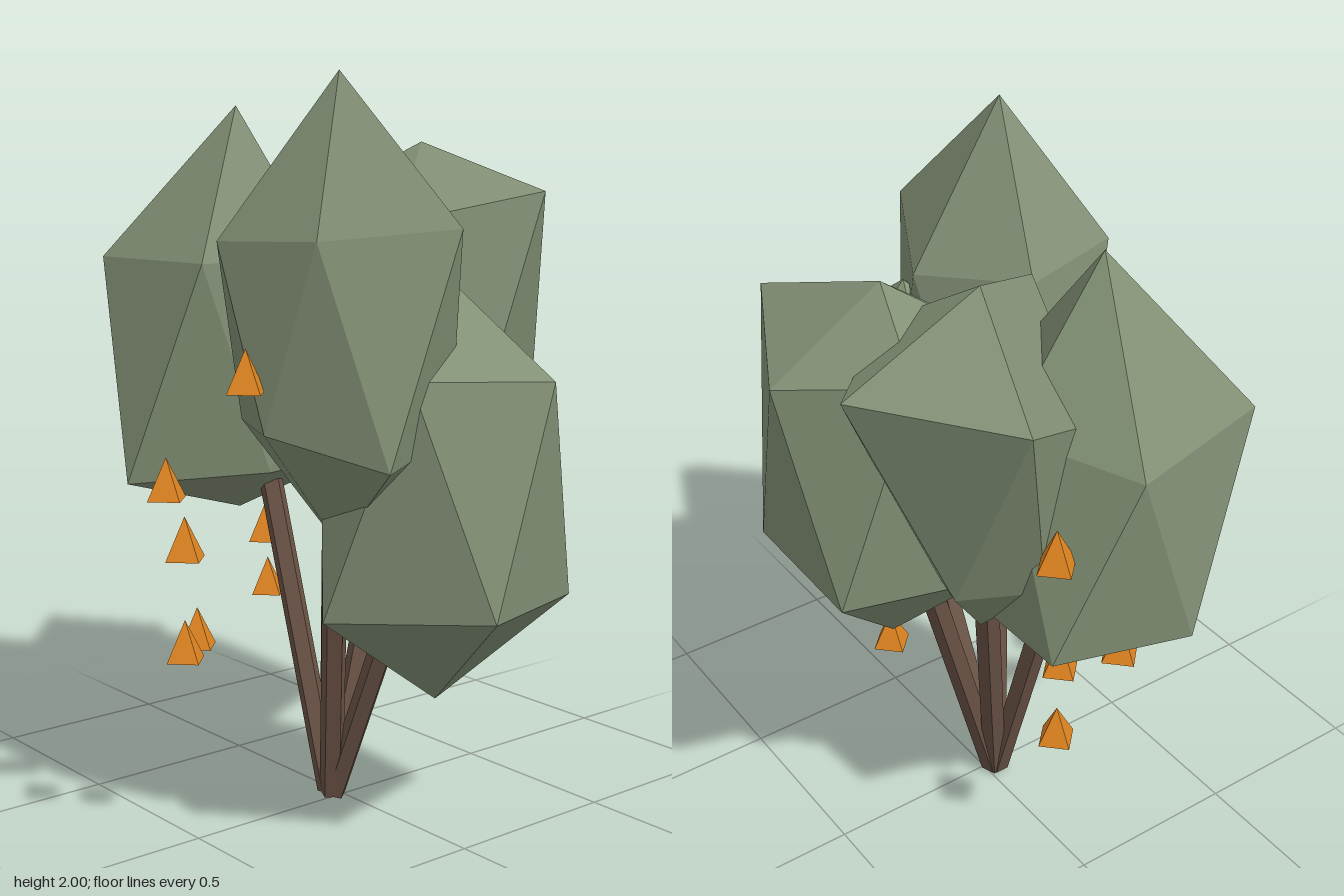
import * as THREE from 'three';

const foliage = new THREE.MeshStandardMaterial({ name: 'sage green', color: 0x839176, flatShading: true });
const bark = new THREE.MeshStandardMaterial({ name: 'brown bark', color: 0x6b5346, flatShading: true });
const fruit = new THREE.MeshStandardMaterial({ name: 'orange', color: 0xde8420, flatShading: true });

// Each crown: axis x/z, bottom and tip heights, and [radius, height] for the corners of both rings
const crowns = [
  { name: 'frontCrown', x: 0, z: 0.38, bottom: 0.38, tip: 1.51,
    upper: [[0.27, 1.2], [0.33, 1.25], [0.33, 1.27], [0.3, 1.24], [0.32, 1.24]],
    lower: [[0.35, 0.66], [0.355, 0.675], [0.38, 0.655], [0.25, 0.64], [0.39, 0.64]] },
  { name: 'frontRightCrown', x: -0.265, z: 0.305, bottom: 0.82, tip: 2,
    upper: [[0.28, 1.56], [0.345, 1.63], [0.21, 1.6], [0.3, 1.59], [0.3, 1.6]],
    lower: [[0.28, 1.1], [0.325, 1.065], [0.235, 1.13], [0.3, 1.12], [0.28, 1.1]] },
  { name: 'leftCrown', x: 0.36, z: -0.09, bottom: 0.77, tip: 1.82,
    upper: [[0.31, 1.63], [0.39, 1.69], [0.3, 1.61], [0.3, 1.66], [0.3, 1.7]],
    lower: [[0.326, 1.09], [0.37, 1.05], [0.345, 1.07], [0.3, 1.07], [0.32, 1.07]] },
  { name: 'backLeftCrown', x: 0.235, z: -0.32, bottom: 0.88, tip: 1.87,
    upper: [[0.38, 1.69], [0.3, 1.68], [0.4, 1.7], [0.27, 1.5], [0.39, 1.695]],
    lower: [[0.14, 1.1], [0.22, 1.08], [0.25, 1.08], [0.2, 1.08], [0.19, 1.1]] },
  { name: 'backCrown', x: -0.045, z: -0.42, bottom: 0.77, tip: 1.92,
    upper: [[0.28, 1.52], [0.3, 1.5], [0.31, 1.5], [0.38, 1.5], [0.32, 1.475]],
    lower: [[0.33, 0.92], [0.275, 0.92], [0.385, 0.885], [0.31, 0.93], [0.34, 0.945]] },
];

// Uneven twenty-sided blob: two staggered rings of five between a tip and a bottom point
function crownGeometry({ x, z, bottom, tip, upper, lower }) {
  const ring = (corners, start) => corners.map(([r, y], k) => {
    const a = start + (k * Math.PI * 2) / 5;
    return new THREE.Vector3(x + r * Math.cos(a), y, z + r * Math.sin(a));
  });
  const B = new THREE.Vector3(x, bottom, z);
  const T = new THREE.Vector3(x, tip, z);
  const L = ring(lower, Math.PI / 5);
  const U = ring(upper, 0);
  const points = [];
  for (let k = 0; k < 5; k++) {
    const n = (k + 1) % 5;
    points.push(T, U[n], U[k]);
    points.push(U[k], U[n], L[k]);
    points.push(L[k], U[n], L[n]);
    points.push(B, L[k], L[n]);
  }
  const geometry = new THREE.BufferGeometry().setFromPoints(points);
  geometry.computeVertexNormals();
  return geometry;
}

// Straight five-sided stem between two points
function stemMesh(from, to) {
  const dir = to.clone().sub(from);
  const mesh = new THREE.Mesh(new THREE.CylinderGeometry(0.035, 0.035, dir.length(), 5), bark);
  mesh.position.copy(from).add(to).multiplyScalar(0.5);
  mesh.quaternion.setFromUnitVectors(new THREE.Vector3(0, 1, 0), dir.normalize());
  return mesh;
}

export function createModel() {
  const model = new THREE.Group();
  model.name = 'tree';

  // Crowns, each with a stem that fans out from the shared foot
  const foot = new THREE.Vector3(-0.03, 0.012, -0.015);
  for (const crown of crowns) {
    const leaves = new THREE.Mesh(crownGeometry(crown), foliage);
    leaves.name = crown.name;
    model.add(leaves);

    const centre = new THREE.Vector3(crown.x, (crown.bottom + crown.tip) / 2, crown.z);
    const outward = new THREE.Vector3(crown.x, 0, crown.z).setLength(0.01);
    const stem = stemMesh(foot.clone().add(outward), foot.clone().lerp(centre, 0.67));
    stem.name = crown.name.replace('Crown', 'Stem');
    model.add(stem);
  }

  // Small four-sided fruits hanging around the crowns
  const fruitGeometry = new THREE.ConeGeometry(0.059, 0.108, 4);
  const spots = [
    [-0.535, 1.29, 0.28], [-0.585, 0.99, 0.005], [-0.62, 0.865, 0.135],
    [-0.525, 0.55, -0.01], [-0.41, 0.54, -0.12], [0.215, 0.54, 0.16],
    [0.215, 1.29, -0.605], [-0.01, 0.9, -0.59], [0.02, 0.72, -0.385], [0.07, 0.54, -0.44],
  ];
  spots.forEach((p, i) => {
    const mesh = new THREE.Mesh(fruitGeometry, fruit);
    mesh.name = `fruit${i + 1}`;
    mesh.position.set(...p);
    model.add(mesh);
  });
  return model;
}
